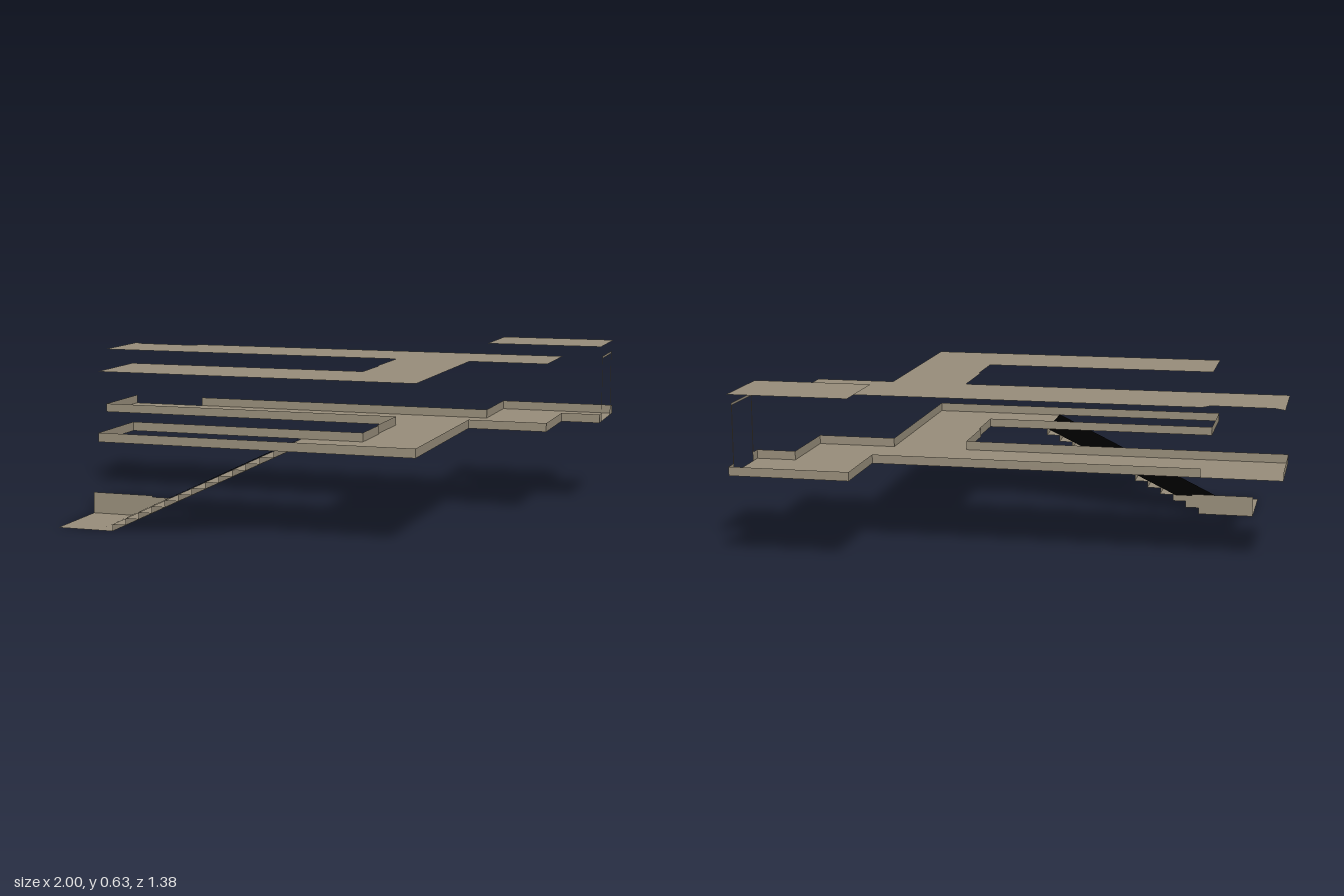
import * as THREE from 'three';

function material(name, color) {
  const m = new THREE.MeshStandardMaterial({ color, side: THREE.DoubleSide });
  m.name = name;
  return m;
}
const stone = material('stone', 0x958b78);
const black = material('black', 0x000000);

const FLOOR = 0.332, RIM = 0.366, CEILING = 0.593, ROOM_CEILING = 0.635;
const BACK = -0.385, FRONT = 0.69, INNER = -0.078, STAIR_BACK = 0.385;
const STEM = 0.543, END = 0.848;

function add(group, name, geometry, mat = stone) {
  const mesh = new THREE.Mesh(geometry, mat);
  mesh.name = name;
  group.add(mesh);
}

// Horizontal sheet from [x, z] corners
function sheet(group, name, corners, y) {
  const shape = new THREE.Shape(corners.map(([x, z]) => new THREE.Vector2(x, -z)));
  add(group, name, new THREE.ShapeGeometry(shape).rotateX(-Math.PI / 2).translate(0, y, 0));
}

// Folded ribbon through two matching rows of [x, y, z] points
function ribbon(group, name, rowA, rowB, mat) {
  const positions = [];
  for (let i = 0; i < rowA.length - 1; i++) {
    const a = rowA[i], b = rowA[i + 1], c = rowB[i + 1], d = rowB[i];
    positions.push(...a, ...b, ...c, ...a, ...c, ...d);
  }
  const geometry = new THREE.BufferGeometry();
  geometry.setAttribute('position', new THREE.Float32BufferAttribute(positions, 3));
  geometry.computeVertexNormals();
  add(group, name, geometry, mat);
}

// Low upright wall following [x, z] points
function lowWall(group, name, path) {
  ribbon(group, name, path.map(([x, z]) => [x, FLOOR, z]), path.map(([x, z]) => [x, RIM, z]));
}

export function createModel() {
  const model = new THREE.Group();
  model.name = 'corridorComplex';

  // Stair layout: landing at the bottom, 13 risers up to the corridor floor
  const steps = 13, run = 0.053, rise = FLOOR / steps, stairX = -0.618;
  const topX = stairX + (steps - 1) * run;

  // Outline shared by floor and ceiling: the inner bend of the corridor
  const bend = [[0.257, STAIR_BACK], [0.257, 0.18], [0.25, 0.18], [0.25, INNER], [-1, INNER]];
  const room = [[STEM, -0.69], [1, -0.69], [1, BACK], [STEM, BACK]];

  // Floors
  sheet(model, 'corridorFloor', [
    [-1, BACK], [END, BACK], [END, INNER], [STEM, INNER], [STEM, FRONT],
    [topX, FRONT], [topX, STAIR_BACK], ...bend,
  ], FLOOR);
  sheet(model, 'roomFloor', room, FLOOR);

  // Ceilings, the long one with a broken back corner
  sheet(model, 'corridorCeiling', [
    [-1, BACK], [-0.96, -0.355], [-0.73, -0.348], [-0.7, BACK], [END, BACK],
    [END, INNER], [STEM, INNER], [STEM, FRONT], [-0.667, FRONT], [-0.667, STAIR_BACK], ...bend,
  ], CEILING);
  sheet(model, 'roomCeiling', room, ROOM_CEILING);

  // Low walls, open at the broken corner and at the doorway
  lowWall(model, 'innerWall', [
    [-1, BACK], ...[...bend].reverse(), [-0.667, STAIR_BACK],
    [-0.667, FRONT], [STEM, FRONT], [STEM, INNER], [END, INNER], [END, BACK],
    [1, BACK], [1, -0.43],
  ]);
  lowWall(model, 'backWall', [
    [-0.7, BACK], [STEM, BACK], [STEM, -0.69], [1, -0.69], [1, -0.64],
  ]);

  // Door frame: flat upright surround in the x = 1 plane
  const frame = new THREE.Shape([
    [0.426, FLOOR], [0.426, 0.594], [0.642, 0.594], [0.642, FLOOR],
    [0.633, FLOOR], [0.633, 0.585], [0.435, 0.585], [0.435, FLOOR],
  ].map(([x, y]) => new THREE.Vector2(x, y)));
  add(model, 'doorFrame', new THREE.ShapeGeometry(frame).rotateY(Math.PI / 2).translate(1, 0, 0));

  // Landing and staircase as one folded sheet
  const profile = [[-0.84, 0], [stairX, 0]];
  for (let i = 0; i < steps; i++) {
    const x = stairX + i * run, y = (i + 1) * rise;
    profile.push([x, y]);
    if (i < steps - 1) profile.push([x + run, y]);
  }
  ribbon(model, 'staircase',
    profile.map(([x, y]) => [x, y, FRONT]), profile.map(([x, y]) => [x, y, STAIR_BACK]));

  // Black ramp resting on the step edges
  ribbon(model, 'stairRamp',
    [[-0.666, 0.004, FRONT], [topX, FLOOR + 0.003, FRONT]],
    [[-0.671, 0.004, STAIR_BACK], [topX, FLOOR + 0.003, STAIR_BACK]], black);

  // Side panel beside the landing, cut along the first steps
  const panel = new THREE.Shape([
    [-0.84, 0], [stairX, 0], [stairX, rise], [stairX + run, rise], [stairX + run, 2 * rise],
    [stairX + 2 * run, 2 * rise], [stairX + 2 * run, 3 * rise], [-0.59, 3 * rise],
    [-0.59, 0.082], [-0.84, 0.082],
  ].map(([x, y]) => new THREE.Vector2(x, y)));
  add(model, 'landingPanel', new THREE.ShapeGeometry(panel).translate(0, 0, STAIR_BACK));

  return model;
}
